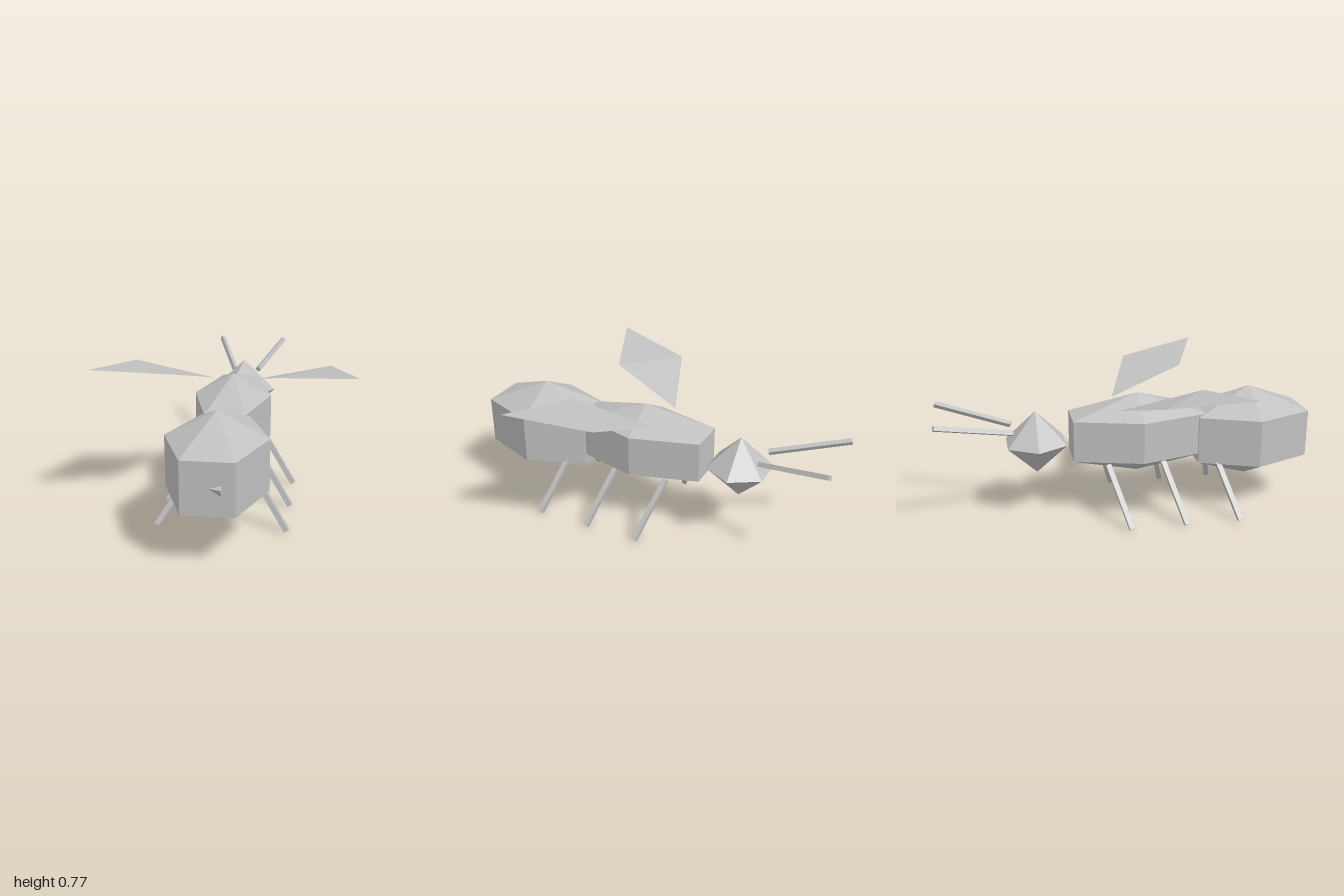
import * as THREE from 'three';

const grey = new THREE.MeshStandardMaterial({ color: 0xc0c0c0, flatShading: true, side: THREE.DoubleSide });
grey.name = 'grey';

// Faceted hexagonal body segment: radii are those of the enclosing ellipsoid
function segment(name, rows, radii, centre) {
  const mesh = new THREE.Mesh(new THREE.SphereGeometry(1, 6, rows), grey);
  mesh.name = name;
  mesh.scale.set(...radii);
  mesh.position.set(...centre);
  return mesh;
}

// Four-sided rod running from one point to another
function rod(name, from, to, r0, r1) {
  const a = new THREE.Vector3(...from);
  const b = new THREE.Vector3(...to);
  const dir = b.clone().sub(a);
  const mesh = new THREE.Mesh(new THREE.CylinderGeometry(r1, r0, dir.length(), 4), grey);
  mesh.name = name;
  mesh.position.copy(a).add(b).multiplyScalar(0.5);
  mesh.quaternion.setFromUnitVectors(new THREE.Vector3(0, 1, 0), dir.normalize());
  return mesh;
}

// Thin kite-shaped wing, folded across its middle
function wing(name, s) {
  const root = [0.12 * s, 0.592, -0.06];
  const front = [0.503 * s, 0.715, 0.08];
  const tip = [0.635 * s, 0.772, 0.505];
  const back = [0.24 * s, 0.717, 0.345];
  const tris = s > 0 ? [root, back, front, front, back, tip] : [root, front, back, front, tip, back];
  const geo = new THREE.BufferGeometry();
  geo.setAttribute('position', new THREE.Float32BufferAttribute(tris.flat(), 3));
  geo.computeVertexNormals();
  const mesh = new THREE.Mesh(geo, grey);
  mesh.name = name;
  return mesh;
}

export function createModel() {
  const model = new THREE.Group();
  model.name = 'insect';

  // Body, with the head towards -z
  model.add(
    segment('abdomen', 3, [0.281, 0.253, 0.404], [0, 0.398, 0.668]),
    segment('thorax', 3, [0.229, 0.219, 0.472], [0, 0.43, 0.054]),
    segment('head', 2, [0.178, 0.17, 0.176], [0, 0.41, -0.485])
  );

  // Stinger, lying skewed through the rear of the abdomen
  model.add(rod('stinger', [0.065, 0.397, 0.967], [-0.157, 0.397, 0.905], 0.028, 0));

  // Mirrored limbs
  for (const s of [1, -1]) {
    const side = s > 0 ? 'left' : 'right';
    model.add(wing(side + 'Wing', s));
    model.add(rod(side + 'Antenna', [0.07 * s, 0.492, -0.61], [0.194 * s, 0.588, -0.996], 0.017, 0.017));
    [-0.125, 0.168, 0.458].forEach((z, i) => {
      model.add(rod(side + 'Leg' + (i + 1), [0.128 * s, 0.302, z], [0.32 * s, 0.012, z + 0.09], 0.019, 0.019));
    });
  }
  return model;
}
